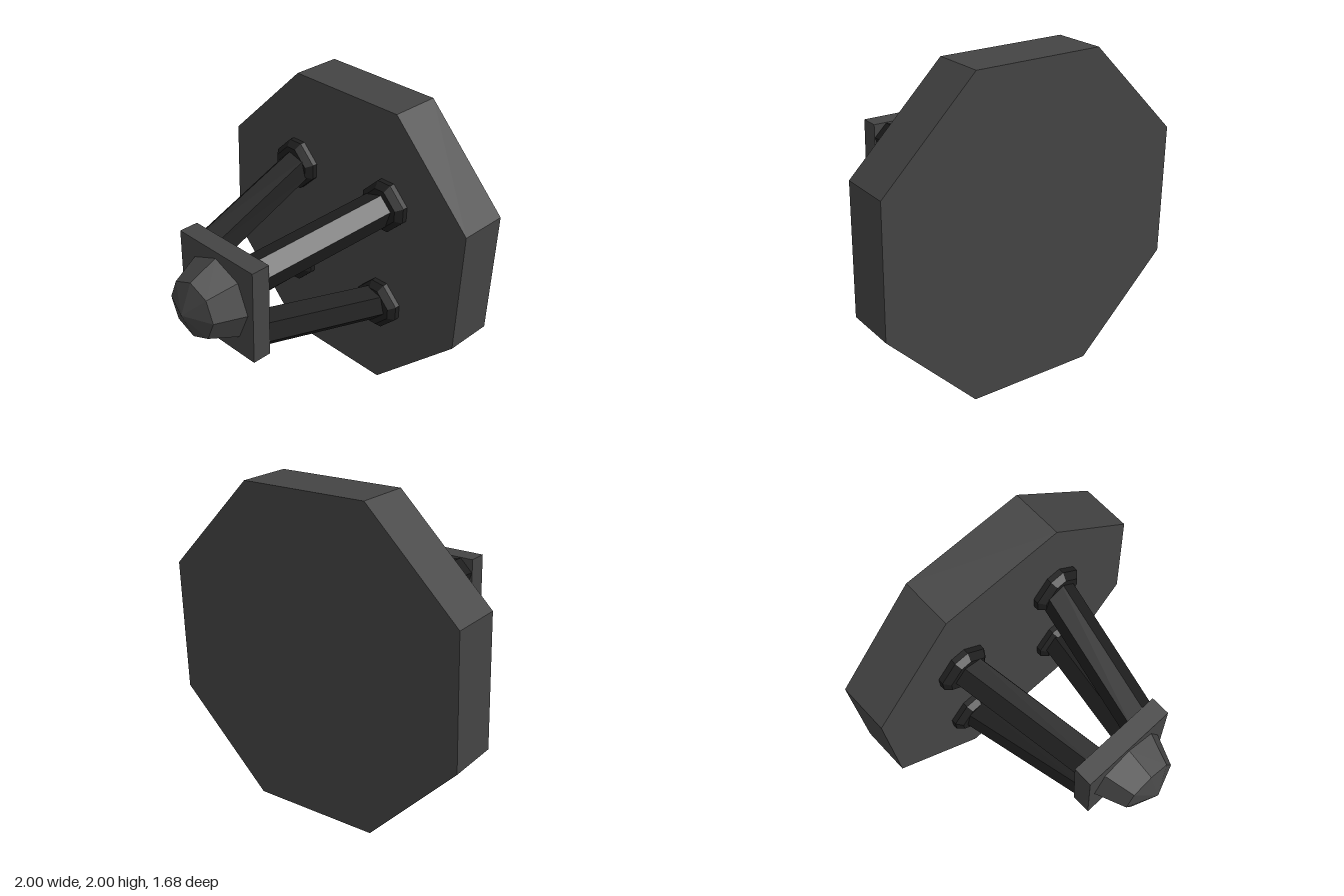
import * as THREE from 'three';

const MID = 1.003; // height of the central axis

function polygon(points) {
  return new THREE.Shape(points.map(([x, y]) => new THREE.Vector2(x, y)));
}

export function createModel() {
  const model = new THREE.Group();
  const light = new THREE.MeshStandardMaterial({ color: 0x444444, flatShading: true });
  const dark = new THREE.MeshStandardMaterial({ color: 0x1e1e1e, flatShading: true });

  const add = (name, geometry, material, x, y, z) => {
    const mesh = new THREE.Mesh(geometry, material);
    mesh.name = name;
    mesh.position.set(x, y, z);
    model.add(mesh);
    return mesh;
  };

  // Octagonal base, turned very slightly about its axis
  const corners = [];
  for (let i = 0; i < 8; i++) {
    const a = (i + 0.5) * Math.PI / 4 - 0.008;
    corners.push([1.077 * Math.cos(a), 1.077 * Math.sin(a)]);
  }
  const base = new THREE.ExtrudeGeometry(polygon(corners), { depth: 0.335, bevelEnabled: false });
  add('basePlate', base, light, 0, MID, -0.84);

  // Square front plate and faceted half-dome nose
  add('frontPlate', new THREE.BoxGeometry(0.645, 0.645, 0.13), light, 0, MID, 0.495);
  const dome = new THREE.SphereGeometry(0.276, 8, 2, 0, Math.PI * 2, 0, Math.PI / 2);
  dome.rotateX(Math.PI / 2);
  add('noseDome', dome, light, 0, MID, 0.56);

  // Foot: a diamond with cut corners and a chamfered front edge
  const c = 0.13, s = 0.035;
  const footShape = polygon([[c, -s], [c, s], [s, c], [-s, c], [-s, -c].map((v, i) => i ? s : -c),
    [-c, -s], [-s, -c], [s, -c]]);
  const foot = new THREE.ExtrudeGeometry(footShape, {
    depth: 0.05, bevelEnabled: true, bevelThickness: 0.04, bevelSize: 0.035, bevelSegments: 1,
  });

  // Four six-sided struts leaning in from the feet to the front plate
  for (const sx of [1, -1]) {
    for (const sy of [1, -1]) {
      add('strutFoot', foot, dark, sx * 0.385, MID + sy * 0.37, -0.52);

      const start = new THREE.Vector3(sx * 0.385, MID + sy * 0.37, -0.53);
      const end = new THREE.Vector3(sx * 0.19, MID + sy * 0.19, 0.49);
      const axis = end.clone().sub(start);
      const strut = new THREE.CylinderGeometry(0.119, 0.119, axis.length(), 6);
      const yAxis = axis.clone().normalize();
      const zAxis = new THREE.Vector3(-sy, sx, 0).normalize(); // a ridge faces sideways
      const xAxis = new THREE.Vector3().crossVectors(yAxis, zAxis).normalize();
      strut.applyMatrix4(new THREE.Matrix4().makeBasis(xAxis, yAxis, zAxis));
      const mid = start.add(end).multiplyScalar(0.5);
      add('strut', strut, dark, mid.x, mid.y, mid.z);
    }
  }
  return model;
}
